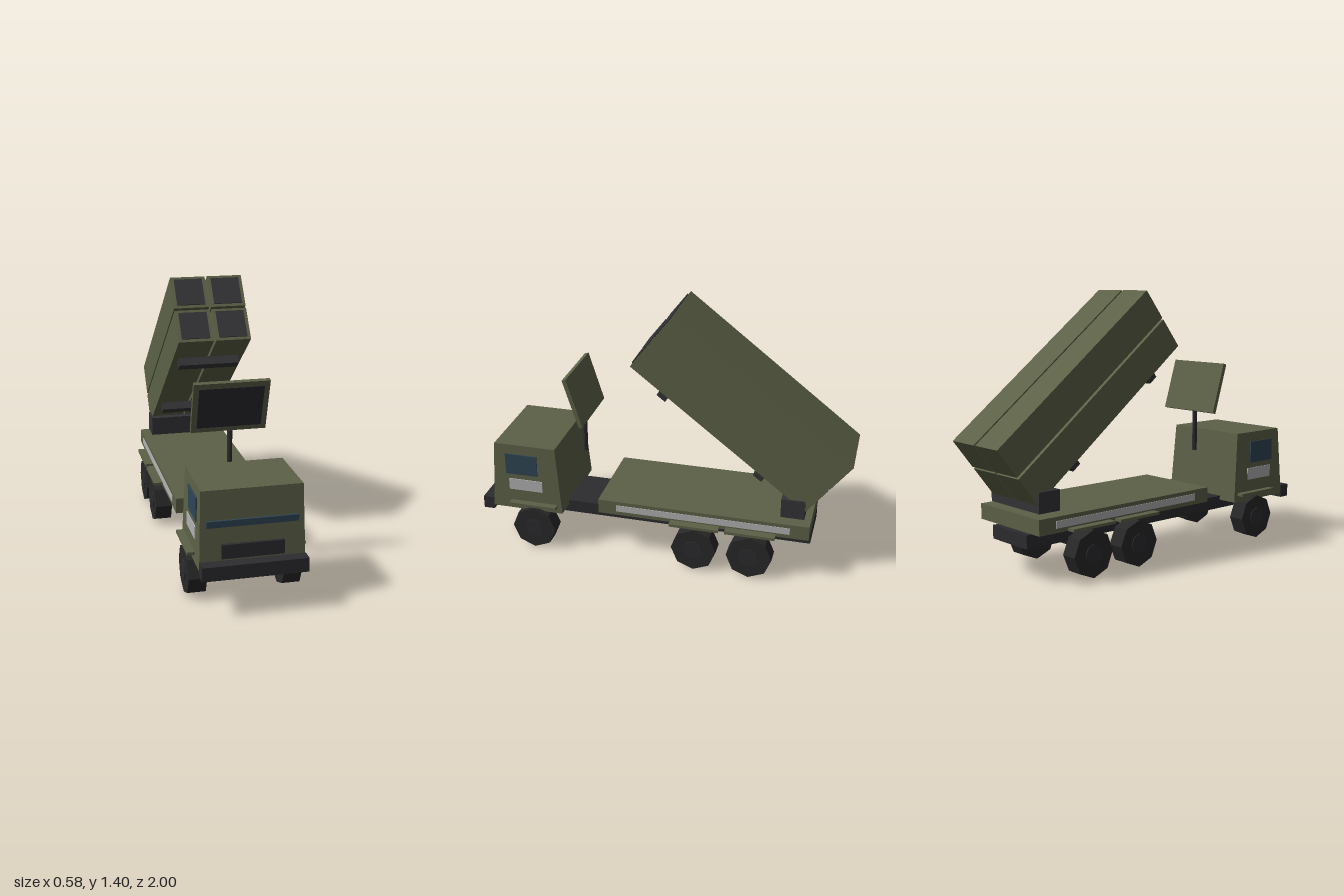
import * as THREE from 'three';

const mat = (color) => new THREE.MeshStandardMaterial({ color, flatShading: true });

export function createModel() {
  const root = new THREE.Group();
  const green = mat(0x5c6147), dark = mat(0x2c2c30), tyre = mat(0x282828);
  const glass = mat(0x2f4554), pale = mat(0xb2b2b2), black = mat(0x343438);

  const add = (name, geo, material, x, y, z, parent = root) => {
    const mesh = new THREE.Mesh(geo, material);
    mesh.name = name;
    mesh.position.set(x, y, z);
    parent.add(mesh);
    return mesh;
  };
  const box = (name, w, h, d, material, x, y, z, parent) =>
    add(name, new THREE.BoxGeometry(w, h, d), material, x, y, z, parent);

  // Chassis and cargo bed
  box('chassis', 0.285, 0.07, 1.625, dark, 0, 0.207, 0.008);
  box('bed', 0.49, 0.08, 1.14, green, 0, 0.295, -0.235);

  // Cab: box tapered towards the roof
  const cabGeo = new THREE.BoxGeometry(0.51, 0.385, 0.4);
  const p = cabGeo.attributes.position;
  for (let i = 0; i < p.count; i++) {
    if (p.getY(i) > 0) {
      p.setX(i, p.getX(i) * 0.955);
      p.setZ(i, p.getZ(i) > 0 ? 0.175 : -0.168);
    }
  }
  cabGeo.computeVertexNormals();
  add('cab', cabGeo, green, 0, 0.412, 0.74);
  box('windshield', 0.44, 0.032, 0.025, glass, 0, 0.444, 0.923);
  box('grille', 0.3, 0.07, 0.025, dark, 0, 0.31, 0.936);
  box('bumper', 0.51, 0.07, 0.06, dark, 0, 0.23, 0.97);

  const axles = [0.7, -0.2, -0.5];
  for (const s of [-1, 1]) {
    // Side details
    box('sideWindow', 0.014, 0.12, 0.18, glass, s * 0.245, 0.49, 0.765);
    box('doorPanel', 0.014, 0.066, 0.19, pale, s * 0.247, 0.368, 0.745);
    box('bedStripe', 0.01, 0.037, 0.94, pale, s * 0.243, 0.296, -0.235);
    // Octagonal wheels with hubs and flat fenders
    for (const z of axles) {
      const wheel = new THREE.Group();
      wheel.name = 'wheel';
      wheel.position.set(s * 0.235, 0.122, z);
      wheel.rotation.z = Math.PI / 2;
      root.add(wheel);
      add('tyre', new THREE.CylinderGeometry(0.122, 0.122, 0.09, 8), tyre, 0, 0, 0, wheel);
      add('hub', new THREE.CylinderGeometry(0.053, 0.053, 0.1, 8), dark, 0, 0, 0, wheel);
      box('fender', 0.09, 0.015, 0.266, green, s * 0.245, 0.262, z);
    }
  }

  // Radar panel on its mast
  add('mast', new THREE.CylinderGeometry(0.013, 0.013, 0.24, 8), dark, 0, 0.616, 0.478);
  const radar = new THREE.Group();
  radar.name = 'radar';
  radar.position.set(0, 0.86, 0.478);
  radar.rotation.x = 0.3;
  root.add(radar);
  box('radarFrame', 0.38, 0.28, 0.022, green, 0, 0, 0, radar);
  box('radarFace', 0.325, 0.225, 0.01, dark, 0, 0, 0.01, radar);

  // Raised launcher: four long boxes, front covers and cross bars
  box('launcherBase', 0.4, 0.105, 0.125, black, 0, 0.402, -0.708);
  const launcher = new THREE.Group();
  launcher.name = 'launcher';
  launcher.position.set(0, 0.896, -0.419);
  launcher.rotation.x = -0.659;
  root.add(launcher);
  for (const sx of [-1, 1]) {
    for (const sy of [-1, 1]) {
      box('canister', 0.183, 0.178, 1.176, green, sx * 0.0975, sy * 0.0955, 0, launcher);
      box('canisterCover', 0.147, 0.147, 0.014, black, sx * 0.0975, sy * 0.0955, 0.587, launcher);
    }
  }
  for (const z of [0.361, -0.29]) box('crossBar', 0.32, 0.045, 0.055, black, 0, -0.206, z, launcher);

  return root;
}
